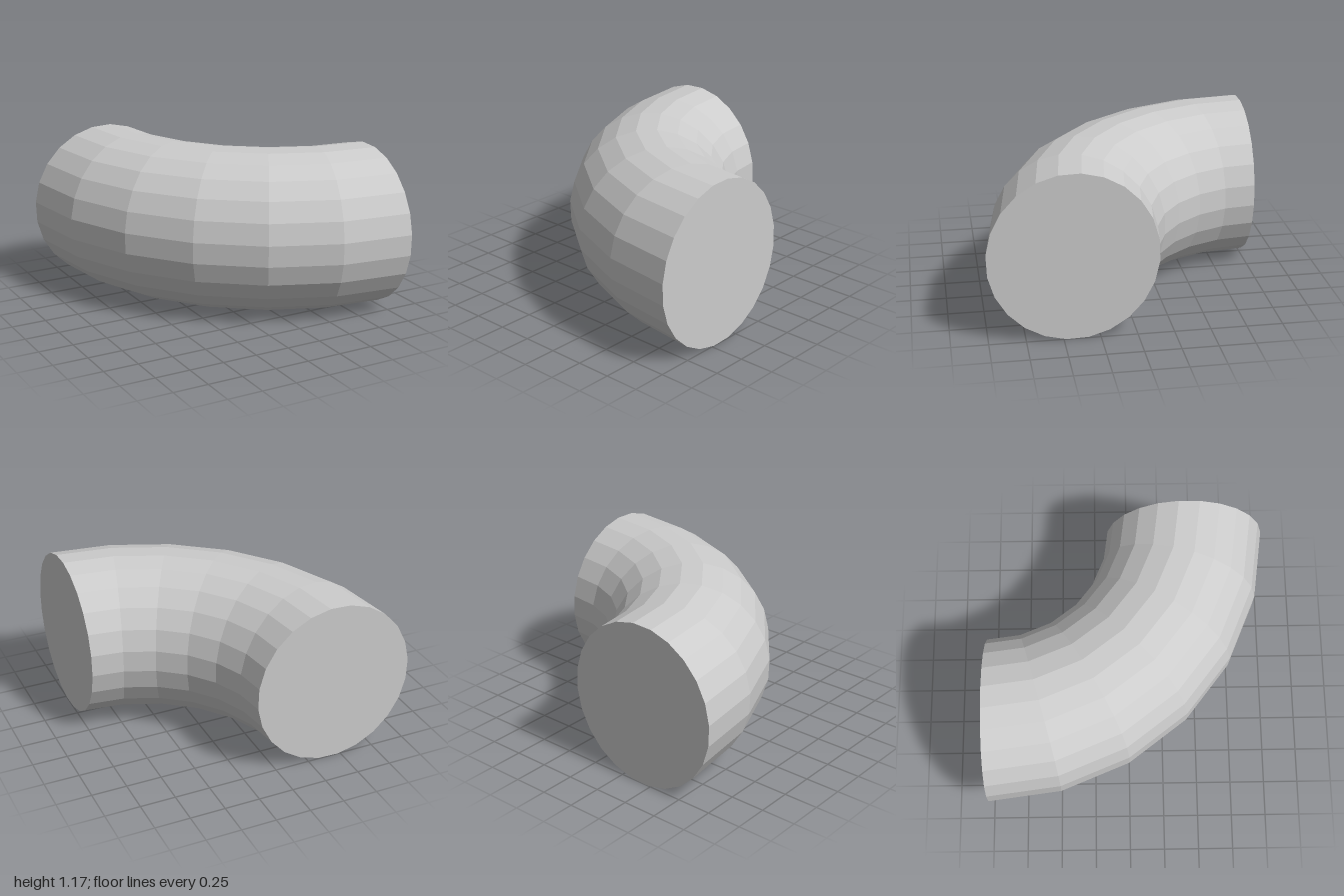
import * as THREE from 'three';

export function createModel() {
  const group = new THREE.Group();
  group.name = 'pipeElbow';
  const material = new THREE.MeshStandardMaterial({ color: 0xcccccc, flatShading: true });

  // Slightly turned 24-sided cross-section, as (distance from bend axis, height)
  const sides = 24, bendRadius = 1.427, phase = 0.094;
  const section = [];
  for (let i = 0; i < sides; i++) {
    const a = phase + (i / sides) * Math.PI * 2;
    section.push(new THREE.Vector2(bendRadius + 0.575 * Math.cos(a), 0.585 + 0.5876 * Math.sin(a)));
  }

  const add = (name, geometry) => {
    const mesh = new THREE.Mesh(geometry, material);
    mesh.name = name;
    mesh.position.set(1, 0, -1); // bend axis
    group.add(mesh);
  };

  // Quarter-turn pipe wall
  add('bentPipe', new THREE.LatheGeometry([...section, section[0].clone()], 6, -Math.PI / 2, Math.PI / 2));

  // Flat end caps, one facing back and one facing the model's left
  const cap = (sign, turn) => new THREE.ShapeGeometry(
    new THREE.Shape(section.map((p) => new THREE.Vector2(sign * p.x, p.y)))
  ).rotateY(turn);
  add('backEndCap', cap(1, Math.PI));
  add('leftEndCap', cap(-1, Math.PI / 2));

  return group;
}
